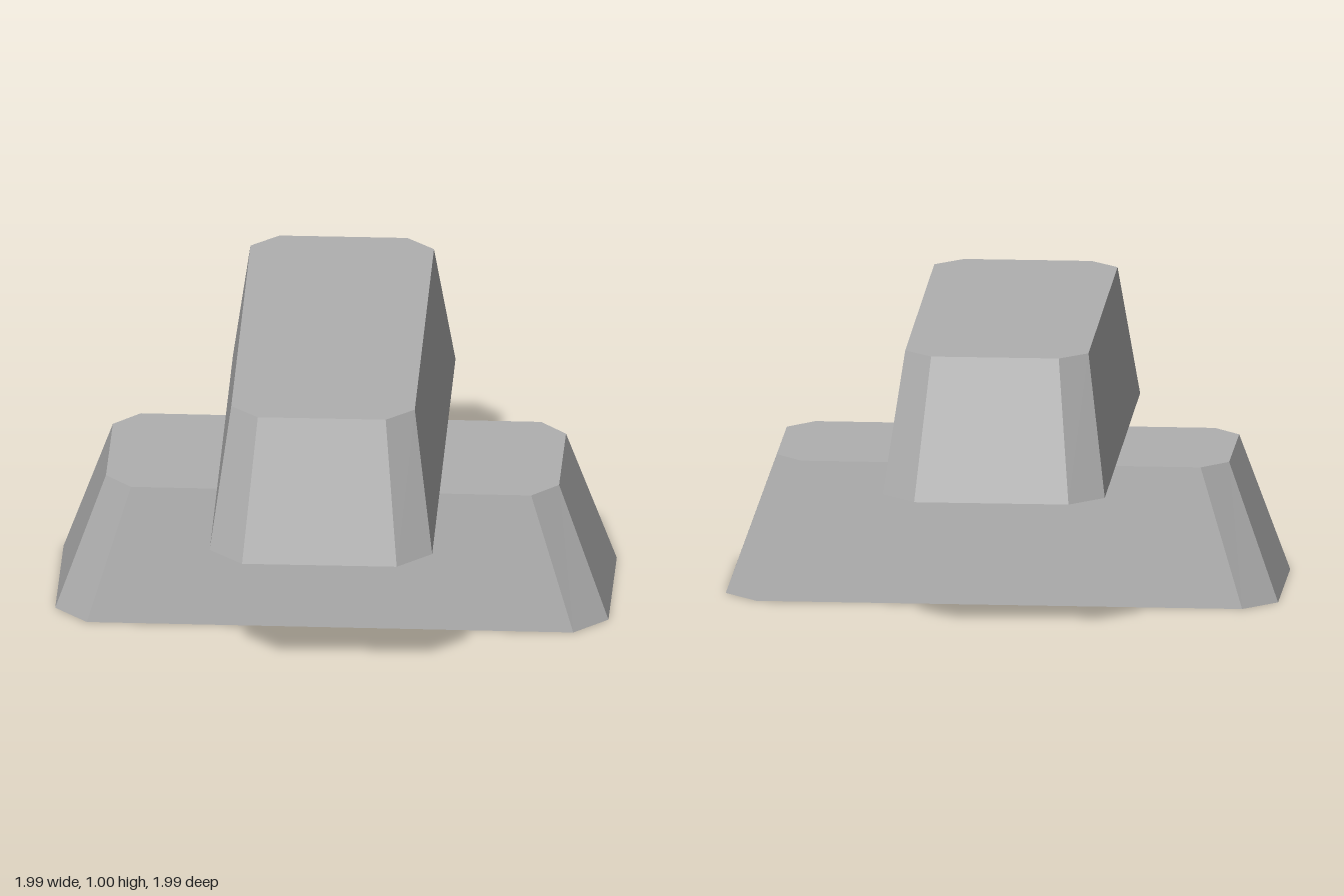
import * as THREE from 'three';

// Octagonal ring: a rectangle with cut corners, counterclockwise seen from above
function ring(halfLength, halfWidth, flatLength, flatWidth, y) {
  return [
    [-flatLength, y, halfWidth], [flatLength, y, halfWidth],
    [halfLength, y, flatWidth], [halfLength, y, -flatWidth],
    [flatLength, y, -halfWidth], [-flatLength, y, -halfWidth],
    [-halfLength, y, -flatWidth], [-halfLength, y, flatWidth],
  ];
}

// Tapered ingot lying along x, built from a wide lower and a narrow upper ring
function ingotGeometry(height) {
  const low = ring(0.995, 0.4, 0.875, 0.278, 0);
  const high = ring(0.815, 0.33, 0.72, 0.23, height);
  const n = low.length;
  const positions = [];
  const tri = (a, b, c) => positions.push(...a, ...b, ...c);
  for (let i = 0; i < n; i++) {
    const j = (i + 1) % n;
    tri(low[i], low[j], high[j]);
    tri(low[i], high[j], high[i]);
  }
  for (let i = 1; i < n - 1; i++) {
    tri(high[0], high[i], high[i + 1]);
    tri(low[0], low[i + 1], low[i]);
  }
  const geometry = new THREE.BufferGeometry();
  geometry.setAttribute('position', new THREE.Float32BufferAttribute(positions, 3));
  geometry.computeVertexNormals(); // unshared corners give flat faces
  return geometry;
}

export function createModel() {
  const model = new THREE.Group();
  model.name = 'stackedIngots';
  const metal = new THREE.MeshStandardMaterial({ color: 0xb0b0b0 });
  metal.name = 'grey metal';

  // Lower ingot, lying left to right
  const lower = new THREE.Mesh(ingotGeometry(0.503), metal);
  lower.name = 'lowerIngot';
  lower.position.set(0, 0, -0.003);

  // Upper ingot, laid across it front to back, turned a touch off square
  const upper = new THREE.Mesh(ingotGeometry(0.497), metal);
  upper.name = 'upperIngot';
  upper.position.set(-0.012, 0.504, 0);
  upper.rotation.y = Math.PI / 2 + 0.006;

  model.add(lower, upper);
  return model;
}
